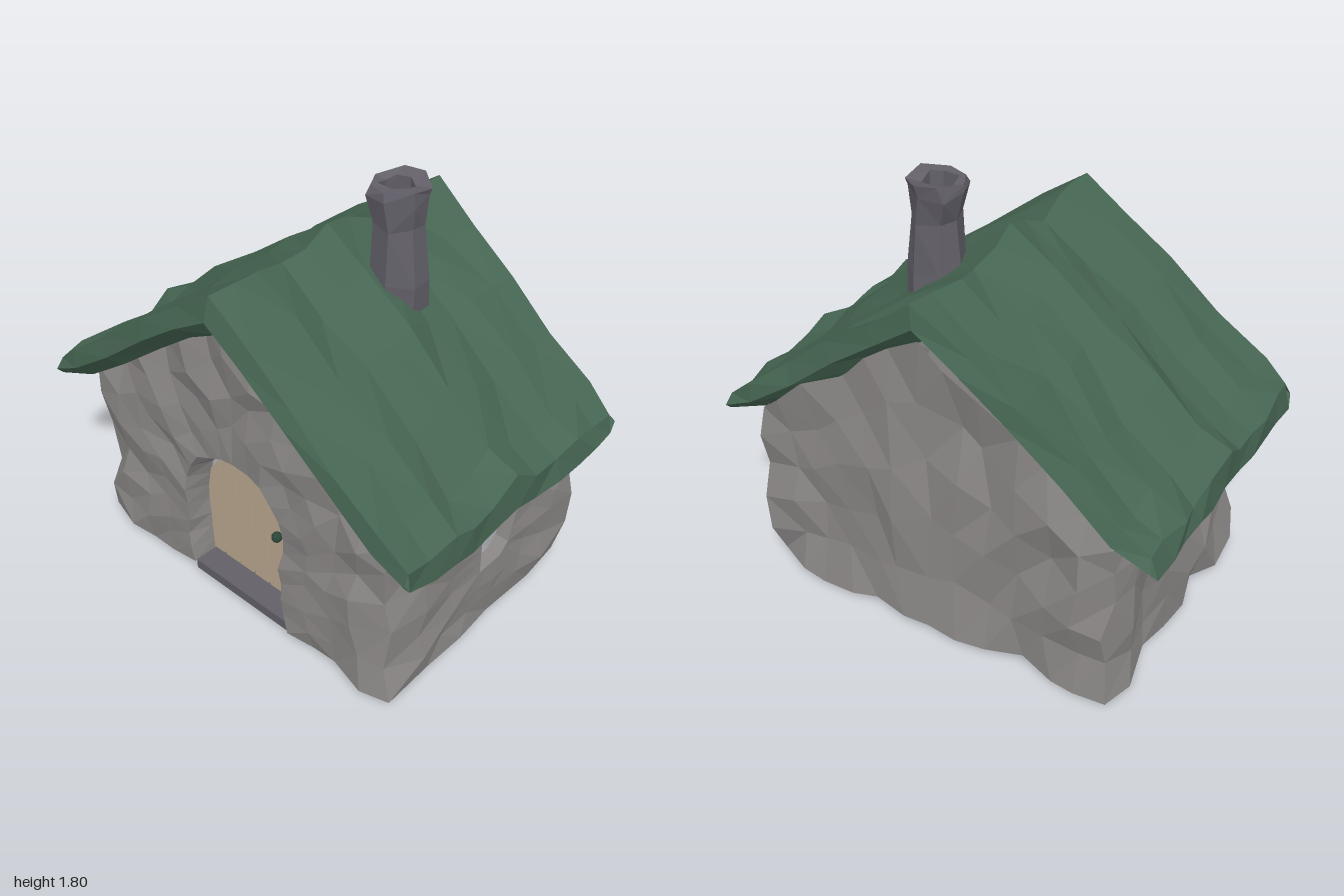
import * as THREE from 'three';

const mat = (name, color, side = THREE.FrontSide) => {
  const m = new THREE.MeshStandardMaterial({ color, side });
  m.name = name;
  return m;
};

// Repeatable noise in -1..1 from a position, so shared edges stay joined
const noise = (x, y, z, k) => {
  const r = (v) => Math.round(v * 1000) / 1000;
  const s = Math.sin(r(x) * 127.1 + r(y) * 311.7 + r(z) * 74.7 + k * 53.3) * 43758.5453;
  return (s - Math.floor(s)) * 2 - 1;
};
const rough = (x, y, z, a) => new THREE.Vector3(
  x + a * noise(x, y, z, 1), y + a * noise(x, y, z, 2), z + a * noise(x, y, z, 3));

// Faceted surface through rows of points
function sheet(rows, closed = false) {
  const pos = [];
  const tri = (...p) => p.forEach((v) => pos.push(v.x, v.y, v.z));
  for (let r = 0; r < rows.length - 1; r++) {
    const n = rows[r].length;
    for (let c = 0; c < (closed ? n : n - 1); c++) {
      const d = (c + 1) % n;
      const a = rows[r][c], b = rows[r][d], e = rows[r + 1][d], f = rows[r + 1][c];
      if (a.distanceTo(e) < b.distanceTo(f)) { tri(a, b, e); tri(a, e, f); }
      else { tri(a, b, f); tri(b, e, f); }
    }
  }
  const g = new THREE.BufferGeometry();
  g.setAttribute('position', new THREE.Float32BufferAttribute(pos, 3));
  g.computeVertexNormals();
  return g;
}

// Evenly spaced points along joined polylines: [[points, segments], ...]
function trace(parts) {
  const out = [];
  parts.forEach(([pts, n], i) => {
    const p = new THREE.Path().setFromPoints(pts.map(([x, y]) => new THREE.Vector2(x, y)));
    out.push(...p.getSpacedPoints(n).slice(i ? 1 : 0));
  });
  return out;
}

const range = (n, f) => Array.from({ length: n }, (_, i) => f(i));

export function createModel() {
  const stone = mat('grey stone', 0x8a8786, THREE.DoubleSide);
  const green = mat('green roof', 0x466552, THREE.DoubleSide);
  const slate = mat('dark slate', 0x625f68, THREE.DoubleSide);
  const wood = mat('pale wood', 0xb8a48e);
  const groove = mat('groove brown', 0x7a6a59);
  const brown = mat('dark brown', 0x50433a);
  const iron = mat('dark green knob', 0x2c4638);

  const house = new THREE.Group();
  house.name = 'cottage';
  const add = (name, geo, m, parent = house) => {
    const mesh = new THREE.Mesh(geo, m);
    mesh.name = name;
    parent.add(mesh);
    return mesh;
  };

  // Wall sizes; V is the number of steps up every corner
  const W = 0.8, FRONT = 0.53, BACK = -0.6, BASE = 0.03, TOP = 0.82, A = 0.03, V = 5;
  const slope = [[0, 1.43], [0.3, 1.22], [0.6, 0.98], [W, TOP]];
  const gableY = (x) => {
    const a = Math.abs(x);
    let i = 0;
    while (i < 2 && a > slope[i + 1][0]) i++;
    const [p, q] = [slope[i], slope[i + 1]];
    return p[1] + (q[1] - p[1]) * (a - p[0]) / (q[0] - p[0]);
  };

  // Front wall: rings from the arched doorway out to the gable outline
  const arch = [[-0.26, 0.04], [-0.28, 0.3], [-0.265, 0.53], [-0.19, 0.63], [0.03, 0.71],
    [0.17, 0.67], [0.25, 0.54], [0.25, 0.4], [0.23, 0.25], [0.27, 0.04]];
  const inner = trace([[arch, 2 * V + 12]]);
  const opening = inner.map((p) => new THREE.Vector2(p.x * 1.07, p.y * 1.08));
  const gable = [...slope].reverse().map(([x, y]) => [-x, y]).concat(slope.slice(1));
  const outline = trace([[[[-W, BASE], [-W, TOP]], V], [gable, 12], [[[W, TOP], [W, BASE]], V]]);
  add('frontWall', sheet(range(5, (r) => outline.map((o, i) => {
    const p = opening[i].clone().lerp(o, r / 4);
    return rough(p.x, p.y, r === 4 ? FRONT : FRONT + 0.02, r ? A * (0.4 + 0.15 * r) : 0.012);
  }))), stone);
  add('doorReveal', sheet([
    inner.map((p) => rough(p.x, p.y, 0.43, 0.006)),
    opening.map((p) => rough(p.x, p.y, FRONT + 0.02, 0.012)),
  ]), stone);

  // Right wall: rings from the crooked window out to the wall edges
  const F = -FRONT, B = -BACK;
  const hole = trace([
    [[[0.02, 0.31], [0.02, 0.48]], 3], [[[0.02, 0.48], [0.1, 0.6]], 2],
    [[[0.1, 0.6], [0.25, 0.535]], 5],
    [[[0.25, 0.535], [0.2, 0.36]], 3], [[[0.2, 0.36], [0.15, 0.315]], 2],
    [[[0.15, 0.315], [0.02, 0.31]], 5]]);
  const edge = trace([
    [[[F, BASE], [F, TOP]], V], [[[F, TOP], [B, TOP]], 5],
    [[[B, TOP], [B, BASE]], V], [[[B, BASE], [F, BASE]], 5]]);
  add('rightWall', sheet(range(4, (r) => edge.map((o, i) => {
    const p = hole[i].clone().lerp(o, r / 3);
    return rough(r === 3 ? W : W + 0.012, p.y, -p.x, A * r / 3);
  }))), stone);
  add('windowReveal', sheet([
    hole.map((p) => new THREE.Vector3(W - 0.05, p.y, -p.x)),
    hole.map((p) => new THREE.Vector3(W + 0.012, p.y, -p.x)),
  ]), stone);

  // Left and back walls
  add('leftWall', sheet(range(V + 1, (r) => range(8, (c) => {
    const side = c === 0 || c === 7;
    return rough(side ? -W : -W - 0.012, BASE + (TOP - BASE) * r / V, BACK + (FRONT - BACK) * c / 7, A);
  }))), stone);
  add('backWall', sheet(range(V + 1, (r) => range(13, (c) => {
    const x = W - 2 * W * c / 12;
    const side = c === 0 || c === 12;
    return rough(x, BASE + (gableY(x) - BASE) * r / V, side ? BACK : BACK - 0.012, A);
  }))), stone);

  // Timber panel opposite the window
  add('innerPanel', new THREE.BoxGeometry(0.02, 0.33, 0.27), brown).position.set(-0.735, 0.465, -0.135);

  // Roof slab: one bent cross-section repeated along z with ripples
  const mirror = (half) => [...half].reverse().map(([x, y]) => [-x, y]).concat(half.slice(1));
  const topLine = mirror([[0, 1.55], [0.2, 1.41], [0.41, 1.265], [0.64, 1.09], [0.84, 0.925], [0.955, 0.85]]);
  const lowLine = mirror([[0, 1.39], [0.16, 1.29], [0.35, 1.14], [0.58, 0.96], [0.8, 0.8], [0.975, 0.735]]);
  const ripple = [0.01, 0, 0.005, -0.02, 0, 0.04, 0, -0.02, 0, -0.01, 0.01];
  const eaveDrop = [0.02, 0.015, -0.01, -0.02, 0, 0.01, -0.02, -0.005, 0.015, 0.025, 0.02];
  const zAt = (k) => 0.62 - 0.124 * k;
  const topRow = (k) => topLine.map(([x, y]) => rough(x, y + ripple[k], zAt(k), 0.02));
  const lowRow = (k) => lowLine.map(([x, y]) => {
    const rim = Math.abs(x) > 0.9;
    return rough(x, y + (rim ? eaveDrop[k] : 0), zAt(k) * (rim ? 1 : 0.93), 0.014);
  });
  const roof = new THREE.Group();
  roof.name = 'roof';
  house.add(roof);
  add('roofShell', sheet(range(11, (k) => [...topRow(k), ...lowRow(k).reverse()]), true), green, roof);
  [[0, 1], [10, -1]].forEach(([k, dir]) => {
    const top = topRow(k), low = lowRow(k);
    const mid = top.map((p, i) => {
      const m = p.clone().lerp(low[i], 0.55);
      m.z = dir * 0.65;
      return m;
    });
    const rows = [low, mid, top];
    if (dir < 0) rows.forEach((r) => r.reverse());
    add(dir > 0 ? 'frontRoofEdge' : 'backRoofEdge', sheet(rows), green, roof);
  });

  // Chimney: hollow crooked tube, outside up, over the rim and down inside
  const rings = [[1.15, 0.115, 0.245], [1.42, 0.115, 0.245], [1.64, 0.098, 0.24],
    [1.75, 0.12, 0.225], [1.795, 0.115, 0.225], [1.79, 0.07, 0.22], [1.3, 0.065, 0.225]];
  add('chimney', sheet(rings.map(([y, r, cx]) => range(7, (i) => {
    const t = -(i + 0.5) / 7 * Math.PI * 2;
    return rough(cx + r * Math.cos(t), y, -0.14 + r * Math.sin(t), 0.012);
  })), true), slate);

  // Door: separate planks with an arched top over a darker core
  const door = new THREE.Group();
  door.name = 'door';
  house.add(door);
  const archY = (x) => 0.72 - 2.6 * (x - 0.02) ** 2;
  const board = (x0, x1, drop, depth) => {
    const xs = range(5, (i) => x1 + (x0 - x1) * i / 4);
    const s = new THREE.Shape([new THREE.Vector2(x0, 0.05), new THREE.Vector2(x1, 0.05),
      ...xs.map((x) => new THREE.Vector2(x, archY(x) - drop))]);
    return new THREE.ExtrudeGeometry(s, { depth, bevelEnabled: false });
  };
  const seams = [-0.285, -0.2, -0.11, -0.02, 0.07, 0.165, 0.24, 0.28];
  seams.slice(1).forEach((x, i) => {
    add('doorPlank', board(seams[i] + 0.005, x - 0.005, 0, 0.035), wood, door).position.z = 0.4;
  });
  add('doorCore', board(-0.28, 0.275, 0.005, 0.015), groove, door).position.z = 0.41;
  add('doorKnob', new THREE.SphereGeometry(0.023, 12, 8), iron, door).position.set(0.15, 0.405, 0.46);
  add('innerDoorRing', new THREE.TorusGeometry(0.02, 0.006, 6, 14), iron, door).position.set(0.15, 0.405, 0.39);

  // Doorstep
  add('doorSill', new THREE.BoxGeometry(0.54, 0.045, 0.16), slate).position.set(0.01, 0.052, 0.465);

  return house;
}
